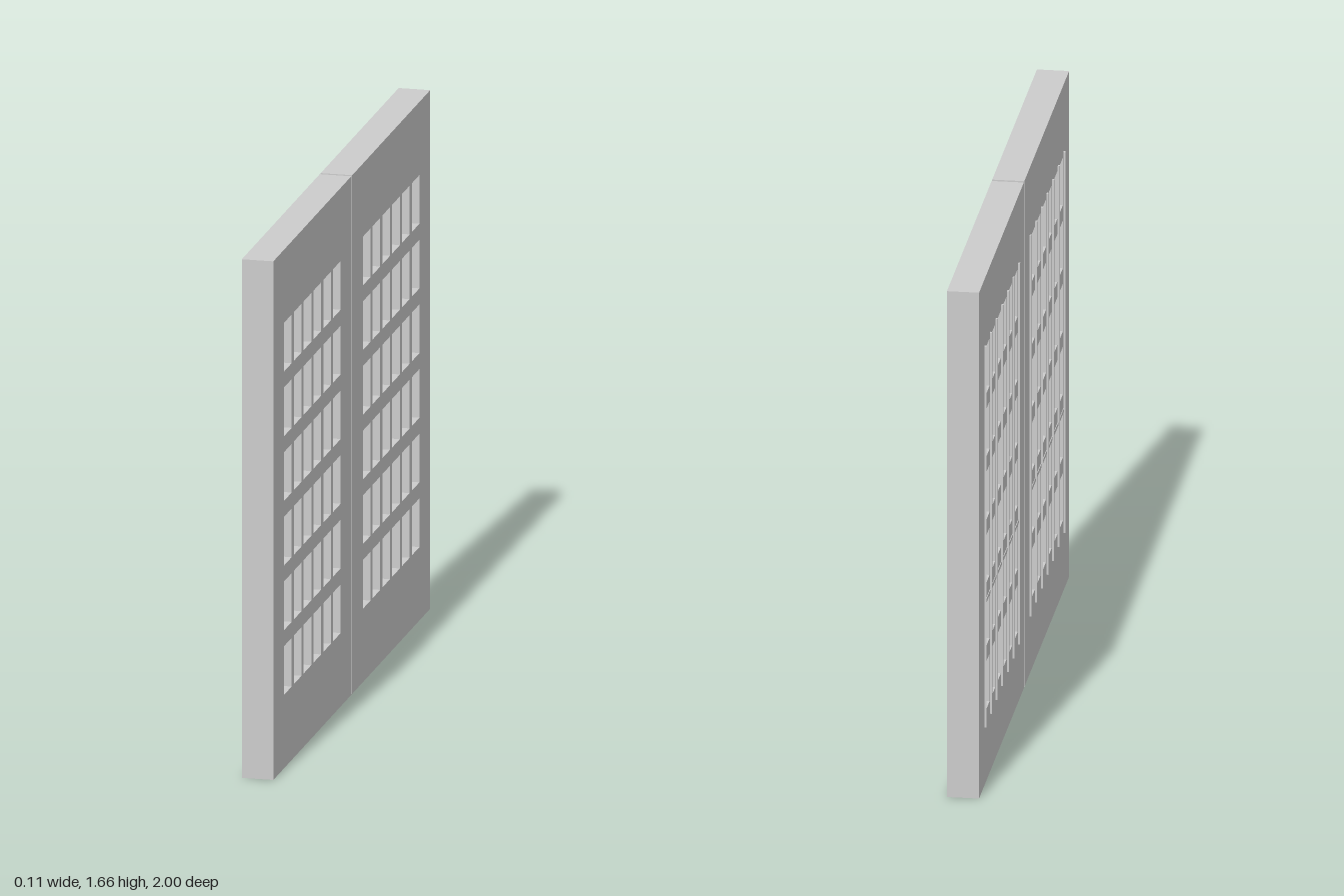
import * as THREE from 'three';

const HEIGHT = 1.66, DEPTH = 0.1;
const INNER = 0.006, OUTER = 1;            // door edges measured from the centre line
const COUNT = 6;                           // openings per row and column
const HOLE = { z: 0.141, y: 0.235, w: 0.097, h: 0.156, stepZ: 0.125, stepY: 0.207 };

const material = new THREE.MeshStandardMaterial({ color: 0xcccccc, flatShading: true });

function rectangle(target, x, y, w, h) {
  target.moveTo(x, y);
  target.lineTo(x + w, y);
  target.lineTo(x + w, y + h);
  target.lineTo(x, y + h);
  target.closePath();
  return target;
}

function addBar(parent, name, size, position) {
  const bar = new THREE.Mesh(new THREE.BoxGeometry(...size), material);
  bar.name = name;
  bar.position.set(...position);
  parent.add(bar);
}

// One door leaf; side = 1 is the front half, -1 the back half
function createDoor(side) {
  const door = new THREE.Group();
  door.name = side > 0 ? 'frontDoor' : 'backDoor';

  // Thick panel pierced by a grid of openings
  const width = OUTER - INNER;
  const along = (z, w) => (side > 0 ? z : -z - w);
  const shape = rectangle(new THREE.Shape(), along(INNER, width), 0, width, HEIGHT);
  for (let row = 0; row < COUNT; row++) {
    for (let col = 0; col < COUNT; col++) {
      const z = along(HOLE.z + col * HOLE.stepZ, HOLE.w);
      shape.holes.push(rectangle(new THREE.Path(), z, HOLE.y + row * HOLE.stepY, HOLE.w, HOLE.h));
    }
  }
  const geometry = new THREE.ExtrudeGeometry(shape, { depth: DEPTH, bevelEnabled: false });
  geometry.rotateY(-Math.PI / 2).translate(DEPTH / 2, 0, 0);
  const panel = new THREE.Mesh(geometry, material);
  panel.name = 'doorPanel';
  door.add(panel);

  // Thin upright bars standing just proud of the panel on one face
  for (let i = 0; i <= COUNT; i++) {
    const z = HOLE.z - (HOLE.stepZ - HOLE.w) / 2 + i * HOLE.stepZ;
    addBar(door, 'uprightBar', [0.014, 1.25, 0.01], [-0.049, 0.815, side * z]);
  }

  // Cross bar showing at the top of the second row of openings
  addBar(door, 'crossBar', [0.012, 0.012, 0.75], [-0.046, 0.594, side * 0.502]);
  return door;
}

export function createModel() {
  const model = new THREE.Group();
  model.name = 'latticeDoors';
  for (const side of [1, -1]) model.add(createDoor(side));
  return model;
}
